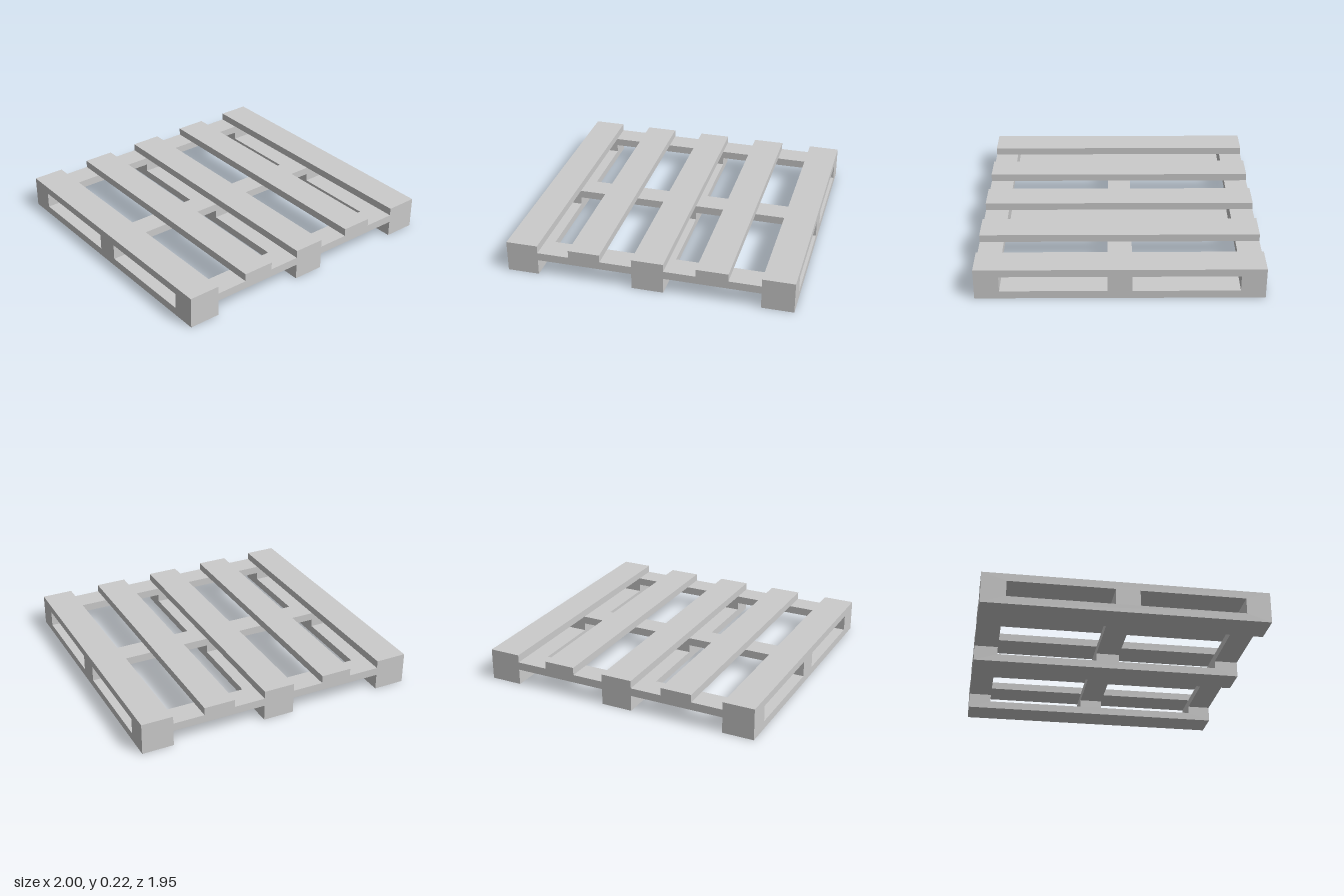
import * as THREE from 'three';

const HALF_DEPTH = 0.973;      // half length of the boards along z
const BOARD = 0.222;           // board width
const HEIGHT = 0.222;          // overall height
const BASE_TOP = 0.056;        // top of the bottom boards
const CROSS_BOTTOM = 0.112;    // underside of the cross boards
const CROSS_TOP = 0.168;       // underside of the deck boards
const END_BLOCK = 0.168;       // depth of the end blocks and cross boards
const MID_HALF = 0.083;        // half depth of the middle ones

const rect = (path, x0, y0, x1, y1) =>
  path.moveTo(x0, y0).lineTo(x1, y0).lineTo(x1, y1).lineTo(x0, y1).closePath();

export function createModel() {
  const pallet = new THREE.Group();
  pallet.name = 'pallet';
  const material = new THREE.MeshStandardMaterial({ color: 0xcccccc, flatShading: true });

  const add = (name, geometry, x, y, z) => {
    const mesh = new THREE.Mesh(geometry, material);
    mesh.name = name;
    mesh.position.set(x, y, z);
    pallet.add(mesh);
  };

  // Runners: deck board, three blocks and bottom board with two fork openings
  const profile = new THREE.Shape();
  rect(profile, -HALF_DEPTH, 0, HALF_DEPTH, HEIGHT);
  const inner = HALF_DEPTH - END_BLOCK;
  for (const [a, b] of [[-inner, -MID_HALF], [MID_HALF, inner]]) {
    const opening = new THREE.Path();
    rect(opening, a, BASE_TOP, b, CROSS_TOP);
    profile.holes.push(opening);
  }
  const runner = new THREE.ExtrudeGeometry(profile, { depth: BOARD, bevelEnabled: false });
  runner.translate(0, 0, -BOARD / 2);
  runner.rotateY(-Math.PI / 2);
  const outerX = 1 - BOARD / 2;
  add('rightRunner', runner, -outerX, 0, 0);
  add('middleRunner', runner, 0, 0, 0);
  add('leftRunner', runner, outerX, 0, 0);

  // Intermediate deck boards, resting on the cross boards
  const deck = new THREE.BoxGeometry(BOARD, HEIGHT - CROSS_TOP, 2 * HALF_DEPTH);
  for (const side of [-1, 1]) {
    add(side < 0 ? 'rightDeckBoard' : 'leftDeckBoard', deck,
      side * outerX / 2, (HEIGHT + CROSS_TOP) / 2, 0);
  }

  // Cross boards bridging the runners at the front, middle and back
  const span = outerX - BOARD;
  const rows = [
    ['front', HALF_DEPTH - END_BLOCK / 2, END_BLOCK],
    ['middle', 0, 2 * MID_HALF],
    ['back', -HALF_DEPTH + END_BLOCK / 2, END_BLOCK],
  ];
  for (const [row, z, depth] of rows) {
    const cross = new THREE.BoxGeometry(span, CROSS_TOP - CROSS_BOTTOM, depth);
    for (const side of [-1, 1]) {
      add(`${row}${side < 0 ? 'Right' : 'Left'}CrossBoard`, cross,
        side * outerX / 2, (CROSS_TOP + CROSS_BOTTOM) / 2, z);
    }
  }
  // Cross boards continue through the fork openings only at the solid blocks
  return pallet;
}
